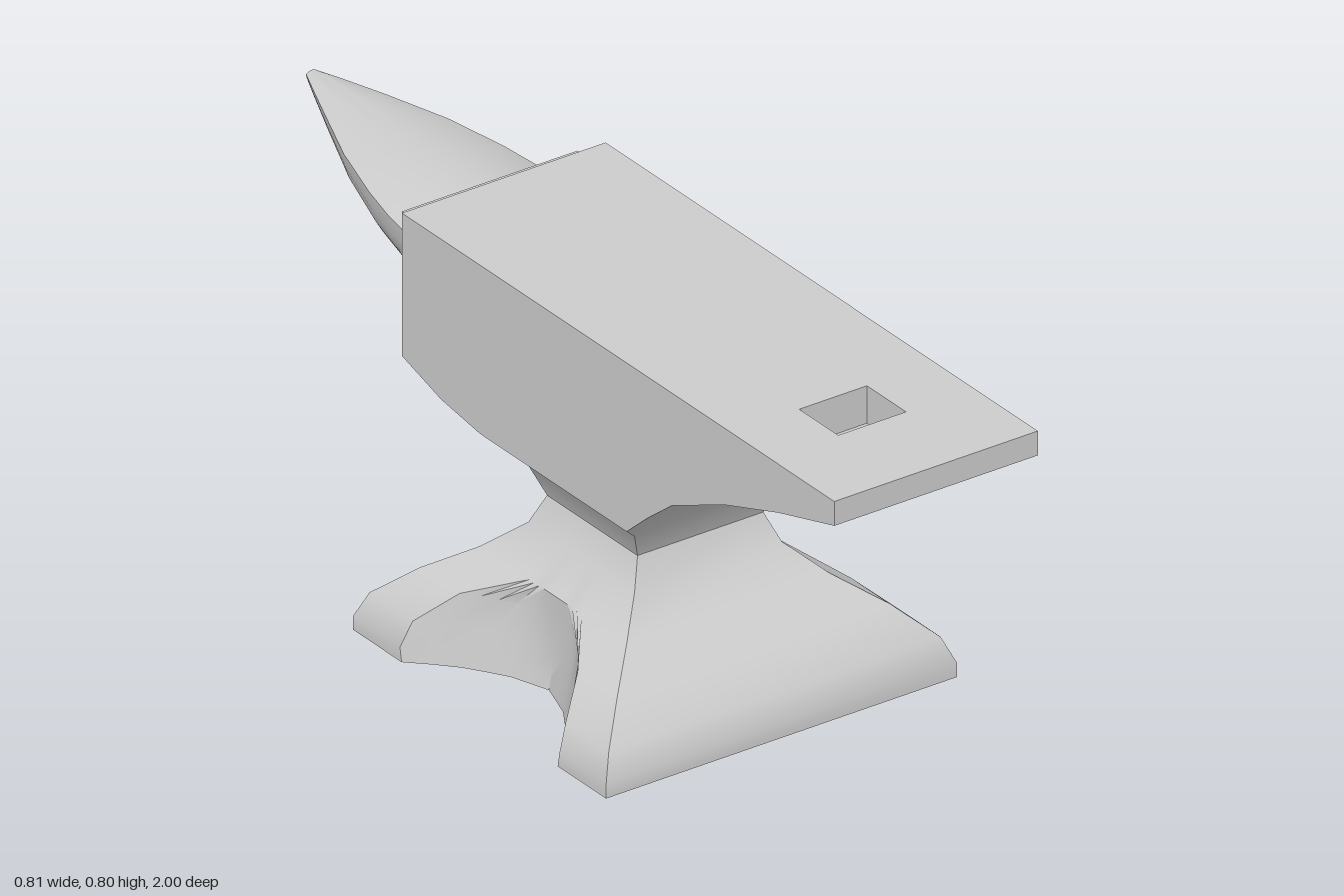
import * as THREE from 'three';
import { toCreasedNormals } from 'three/addons/utils/BufferGeometryUtils.js';

const CREASE = 0.6;

function geometryFrom(positions) {
  const g = new THREE.BufferGeometry();
  g.setAttribute('position', new THREE.Float32BufferAttribute(positions, 3));
  return toCreasedNormals(g, CREASE);
}

// Skin a stack of rings (equal point counts) and close both ends.
function loft(rings) {
  const pos = [];
  const tri = (...pts) => pts.forEach((p) => pos.push(...p));
  const n = rings[0].length;
  const middle = (r) => [0, 1, 2].map((k) => r.reduce((s, p) => s + p[k], 0) / n);
  const first = rings[0], last = rings[rings.length - 1];
  const c0 = middle(first), c1 = middle(last);
  for (let i = 0; i < n; i++) {
    const j = (i + 1) % n;
    for (let k = 0; k < rings.length - 1; k++) {
      const a = rings[k], b = rings[k + 1];
      tri(a[i], a[j], b[j]);
      tri(a[i], b[j], b[i]);
    }
    tri(c0, first[j], first[i]);
    tri(c1, last[i], last[j]);
  }
  return geometryFrom(pos);
}

// Drop the triangles lying entirely at or above a height.
function openTop(geometry, y) {
  const src = geometry.index ? geometry.toNonIndexed() : geometry;
  const p = src.getAttribute('position').array;
  const pos = [];
  for (let i = 0; i < p.length; i += 9) {
    if (Math.min(p[i + 1], p[i + 4], p[i + 7]) < y - 1e-4) pos.push(...p.slice(i, i + 9));
  }
  return geometryFrom(pos);
}

// Foot and waist: square sections with a scoop in each side.
function baseGeometry() {
  const profile = [[0.405, 0], [0.405, 0.03], [0.383, 0.083], [0.315, 0.145], [0.235, 0.2],
    [0.17, 0.26], [0.145, 0.32], [0.17, 0.38], [0.235, 0.44]];
  const curve = [[0, 0.245], [0.09, 0.275], [0.18, 0.335], [0.25, 0.405], [0.3, 0.46]];
  const scoop = (d, y) => {
    let k = 0;
    while (k < curve.length - 2 && d > curve[k + 1][0]) k++;
    const [d0, x0] = curve[k], [d1, x1] = curve[k + 1];
    return Math.max(0.235, x0 + (x1 - x0) * (d - d0) / (d1 - d0) - 0.2 * y);
  };
  const STEPS = 12;
  const rings = profile.map(([h, y]) => {
    // half the scoop's opening at this height
    let open = 0.09 * h / 0.235;
    if (h > 0.236) {
      let lo = 0, hi = 0.3;
      for (let i = 0; i < 30; i++) {
        const m = (lo + hi) / 2;
        if (scoop(m, y) < h) lo = m; else hi = m;
      }
      open = lo;
    }
    const side = [[h, y, h]];
    for (let i = 0; i <= STEPS; i++) {
      const z = open * (1 - 2 * i / STEPS);
      side.push([Math.min(h, scoop(Math.abs(z), y)), y, z]);
    }
    side.push([h, y, -h]);
    const other = side.map(([x, yy, z]) => [-x, yy, -z]);
    return [...side, ...other].map(([x, yy, z]) => [x, yy, z + 0.1]);
  });
  return loft(rings);
}

// Horn: shallow arched top over a deep rounded belly, tapering to the tip.
function hornGeometry() {
  // z, half width, height of the side edge, height of the belly
  const sections = [[-0.43, 0.18, 0.706, 0.54], [-0.52, 0.17, 0.715, 0.55], [-0.6, 0.155, 0.723, 0.566],
    [-0.73, 0.12, 0.735, 0.61], [-0.86, 0.07, 0.745, 0.667], [-0.95, 0.034, 0.75, 0.71],
    [-1, 0.013, 0.752, 0.734]];
  const N = 14;
  return loft(sections.map(([z, w, mid, low]) => {
    const ring = [];
    for (let i = 0; i < N; i++) {
      const u = -1 + 2 * i / N;
      ring.push([w * u, mid + (0.757 - mid) * (1 - u * u), z]);
    }
    for (let i = 0; i < N; i++) {
      const a = Math.PI * i / N;
      ring.push([w * Math.cos(a), mid - (mid - low) * Math.sin(a), z]);
    }
    return ring;
  }));
}

export function createModel() {
  const group = new THREE.Group();
  const material = new THREE.MeshStandardMaterial({ color: 0xcccccc });
  const add = (name, geometry, mat = material) => {
    const mesh = new THREE.Mesh(geometry, mat);
    mesh.name = name;
    group.add(mesh);
    return mesh;
  };

  add('base', baseGeometry());

  // Body: side profile (z, y) extruded across the width
  const W = 0.235, TOP = 0.8;
  const outline = [[1, TOP], [1, 0.748], [0.82, 0.696], [0.65, 0.637], [0.48, 0.56], [0.4, 0.497],
    [0.335, 0.44], [-0.135, 0.44], [-0.26, 0.458], [-0.385, 0.495], [-0.385, TOP]];
  const body = new THREE.ExtrudeGeometry(
    new THREE.Shape(outline.map(([z, y]) => new THREE.Vector2(-z, y))),
    { depth: 2 * W, bevelEnabled: false });
  body.translate(0, 0, -W).rotateY(Math.PI / 2);
  add('body', openTop(body, TOP));

  // Face: top surface with the square tool hole
  const rect = (C, x0, x1, z0, z1) => new C([[x0, z0], [x1, z0], [x1, z1], [x0, z1]]
    .map(([x, z]) => new THREE.Vector2(x, -z)));
  const face = rect(THREE.Shape, -W, W, -0.385, 1);
  face.holes.push(rect(THREE.Path, -0.078, 0.078, 0.67, 0.795));
  add('face', new THREE.ShapeGeometry(face).rotateX(-Math.PI / 2).translate(0, TOP, 0));

  const pit = new THREE.BoxGeometry(0.156, 0.08, 0.125).translate(0, TOP - 0.04, 0.7325);
  const inside = new THREE.MeshStandardMaterial({ color: 0xcccccc, side: THREE.DoubleSide });
  add('toolHole', openTop(pit, TOP), inside);

  // Collar between body and horn
  add('collar', new THREE.BoxGeometry(0.405, 0.25, 0.045)).position.set(0, 0.648, -0.4075);

  add('horn', hornGeometry());
  return group;
}
